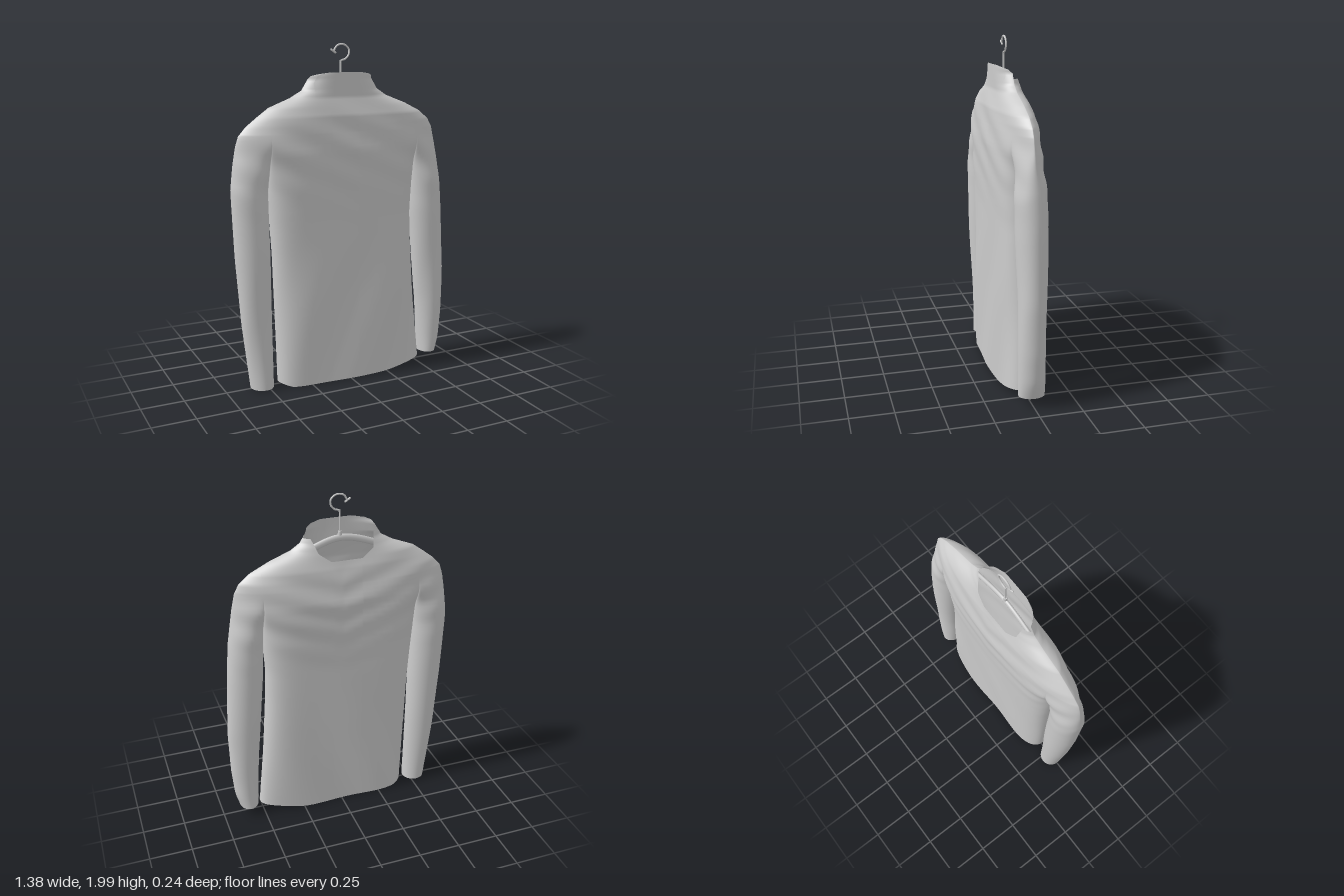
import * as THREE from 'three';
import { mergeVertices } from 'three/addons/utils/BufferGeometryUtils.js';

// linear lookup in [y, value] pairs
function table(pairs) {
  return y => {
    if (y <= pairs[0][0]) return pairs[0][1];
    for (let i = 1; i < pairs.length; i++) {
      const [y0, a] = pairs[i - 1], [y1, b] = pairs[i];
      if (y <= y1) return a + (b - a) * (y - y0) / (y1 - y0);
    }
    return pairs[pairs.length - 1][1];
  };
}
const { lerp, smoothstep, clamp } = THREE.MathUtils;

// outer silhouette, right and left of the garment
const outerR = table([[0, -0.6], [0.4, -0.645], [0.8, -0.675], [1.2, -0.69], [1.35, -0.675], [1.44, -0.66], [1.5, -0.64],
  [1.55, -0.595], [1.6, -0.53], [1.65, -0.46], [1.7, -0.33], [1.74, -0.26], [1.78, -0.235], [1.82, -0.21], [1.833, -0.17], [1.84, -0.11]]);
const outerL = table([[0, 0.645], [0.1, 0.67], [0.3, 0.685], [0.6, 0.69], [1, 0.668], [1.2, 0.65], [1.4, 0.62], [1.5, 0.598],
  [1.55, 0.57], [1.6, 0.51], [1.65, 0.41], [1.7, 0.28], [1.74, 0.22], [1.78, 0.195], [1.82, 0.17], [1.833, 0.13], [1.84, 0.08]]);
// the two sides of each gap between sleeve and body
const sleeveInR = table([[0, -0.462], [0.8, -0.467], [1.02, -0.473], [1.15, -0.475]]);
const bodyR = table([[0, -0.43], [0.4, -0.44], [0.8, -0.45], [1, -0.463], [1.15, -0.475]]);
const sleeveInL = table([[0, 0.53], [0.4, 0.51], [0.8, 0.475], [1, 0.457], [1.15, 0.452]]);
const bodyL = table([[0, 0.515], [0.4, 0.48], [0.8, 0.45], [1, 0.442], [1.15, 0.452]]);
// back neck notch
const notchR = table([[1.64, -0.12], [1.69, -0.19], [1.77, -0.2]]);
const notchL = table([[1.64, 0.06], [1.69, 0.13], [1.77, 0.165]]);
// front and back depth
const depthF = table([[0, 0.115], [0.6, 0.11], [1, 0.108], [1.4, 0.115], [1.6, 0.1], [1.7, 0.072], [1.84, 0.07]]);
const depthB = table([[0, 0.09], [0.6, 0.1], [1, 0.105], [1.4, 0.12], [1.6, 0.092], [1.7, 0.068], [1.77, 0.055]]);
const ARMPIT = 1.15, NOTCH = 1.64, BACK_TOP = 1.77;

// x limits of the five panels: sleeve, side, neck, side, sleeve
function panels(y) {
  const oR = outerR(y), oL = outerL(y);
  const bR = Math.max(bodyR(y), oR * 0.92), bL = Math.min(bodyL(y), oL * 0.92);
  const nR = Math.max(notchR(y), oR * 0.85), nL = Math.min(notchL(y), oL * 0.85);
  const sR = y < ARMPIT ? sleeveInR(y) : bR, sL = y < ARMPIT ? sleeveInL(y) : bL;
  return [[oR, sR], [bR, nR], [nR, nL], [nL, bL], [sL, oL]];
}

const across = (x, a, b) => clamp((2 * x - a - b) / (b - a), -1, 1);

// shallow drapery folds
function folds(x, y, side) {
  const chest = Math.exp(-(((y - 1.38) / 0.25) ** 2));
  const skirt = 1 - smoothstep(y, 0.5, 1.1);
  const slant = side > 0 ? y * 32 + x * 15 : y * 38 - Math.abs(x) * 14;
  return 0.004 * chest * Math.sin(slant) + 0.005 * skirt * Math.sin(13 * x - 5 * y + side);
}

function surfacePoint(panel, s, y, side) {
  const P = panels(y), [a, b] = P[panel];
  const x = lerp(a, b, s);
  const sleeve = panel === 0 || panel === 4;
  const yw = Math.min(y, 1.8);
  const tg = across(x, outerR(yw), outerL(yw));
  const whole = (1 - tg ** 4) ** 0.8;
  const tl = sleeve ? across(x, a, b) : across(x, P[1][0], P[3][1]);
  const own = sleeve ? Math.sqrt(1 - tl * tl) : Math.sqrt(1 - tl ** 6);
  const split = 1 - smoothstep(y, ARMPIT, 1.48);
  const D = side > 0 ? depthF(y) : depthB(y);
  const ownDepth = sleeve ? lerp(0.072, 0.088, smoothstep(y, 0, 1.1)) : D;
  const shape = lerp(whole * D, own * ownDepth, split);
  const z = side * (shape + folds(x, y, side) * Math.min(1, shape / 0.06));
  // hem and cuff heights
  let lift = 0.01;
  if (panel === 4) lift = 0.065;
  else if (panel === 0) lift = 0.012;
  else lift += 0.045 * smoothstep(x, 0.2, 0.52) + 0.015 * smoothstep(-x, 0.36, 0.43);
  return [x, y + lift * Math.max(0, 1 - y / 0.5), z];
}

function garmentGeometry() {
  const rows = [];
  for (let i = 0; i < 28; i++) rows.push(ARMPIT * i / 28);
  for (let i = 0; i < 14; i++) rows.push(ARMPIT + 0.35 * i / 14);
  for (let i = 0; i <= 34; i++) rows.push(1.5 + i * 0.01);
  const pos = [], idx = [];
  const counts = [18, 14, 16, 14, 18];
  for (const side of [1, -1]) {
    for (let p = 0; p < 5; p++) {
      const top = side > 0 ? 9 : p === 2 ? NOTCH : BACK_TOP;
      const used = rows.filter(y => y <= top + 1e-4);
      const n = counts[p], base = pos.length / 3;
      used.forEach((y, r) => {
        for (let c = 0; c <= n; c++) {
          // columns crowd toward the rounded edges
          let s = c / n;
          if (p === 0 || p === 4) s = (1 - Math.cos(Math.PI * s)) / 2;
          if (p === 1) s = s * s;
          if (p === 3) s = 1 - (1 - s) ** 2;
          pos.push(...surfacePoint(p, s, y, side));
          if (!r || !c) continue;
          const d = base + r * (n + 1) + c, l = d - 1, u = d - n - 1, k = u - 1;
          if (side > 0) idx.push(k, u, d, k, d, l);
          else idx.push(k, d, u, k, l, d);
        }
      });
    }
  }
  const g = new THREE.BufferGeometry();
  g.setAttribute('position', new THREE.Float32BufferAttribute(pos, 3));
  g.setIndex(idx);
  const merged = mergeVertices(g, 1e-4);
  merged.computeVertexNormals();
  return merged;
}

export function createModel() {
  const group = new THREE.Group();
  const mat = new THREE.MeshStandardMaterial({ color: 0xcccccc, side: THREE.DoubleSide });
  const add = (name, geo, parent = group) => {
    const m = new THREE.Mesh(geo, mat);
    m.name = name;
    parent.add(m);
    return m;
  };
  const curve = pts => new THREE.CatmullRomCurve3(pts.map(p => new THREE.Vector3(p[0], p[1], 0)));

  // body, sleeves and raised front collar in one cloth surface
  add('sweater', garmentGeometry());

  // hanger
  const hanger = new THREE.Group();
  hanger.name = 'hanger';
  group.add(hanger);
  const bar = curve([[-0.42, 1.59], [-0.22, 1.695], [-0.015, 1.745], [0.19, 1.68], [0.36, 1.59]]);
  add('hangerBar', new THREE.TubeGeometry(bar, 40, 0.02, 10), hanger).scale.z = 0.55;
  const stem = add('hangerStem', new THREE.CylinderGeometry(0.005, 0.005, 0.16, 8), hanger);
  stem.position.set(-0.015, 1.825, 0);
  const collar = add('stemCollar', new THREE.CylinderGeometry(0.01, 0.012, 0.025, 10), hanger);
  collar.position.set(-0.015, 1.772, 0);
  const hook = curve([[-0.015, 1.89], [-0.012, 1.902], [0.015, 1.912], [0.036, 1.935], [0.038, 1.965],
    [0.018, 1.988], [-0.01, 1.995], [-0.038, 1.986], [-0.053, 1.965], [-0.056, 1.953]]);
  add('hangerHook', new THREE.TubeGeometry(hook, 48, 0.0055, 8), hanger);
  const tip = add('hookTip', new THREE.CapsuleGeometry(0.006, 0.03, 4, 8), hanger);
  tip.position.set(-0.06, 1.956, 0);
  tip.rotation.z = 1.0;
  return group;
}
